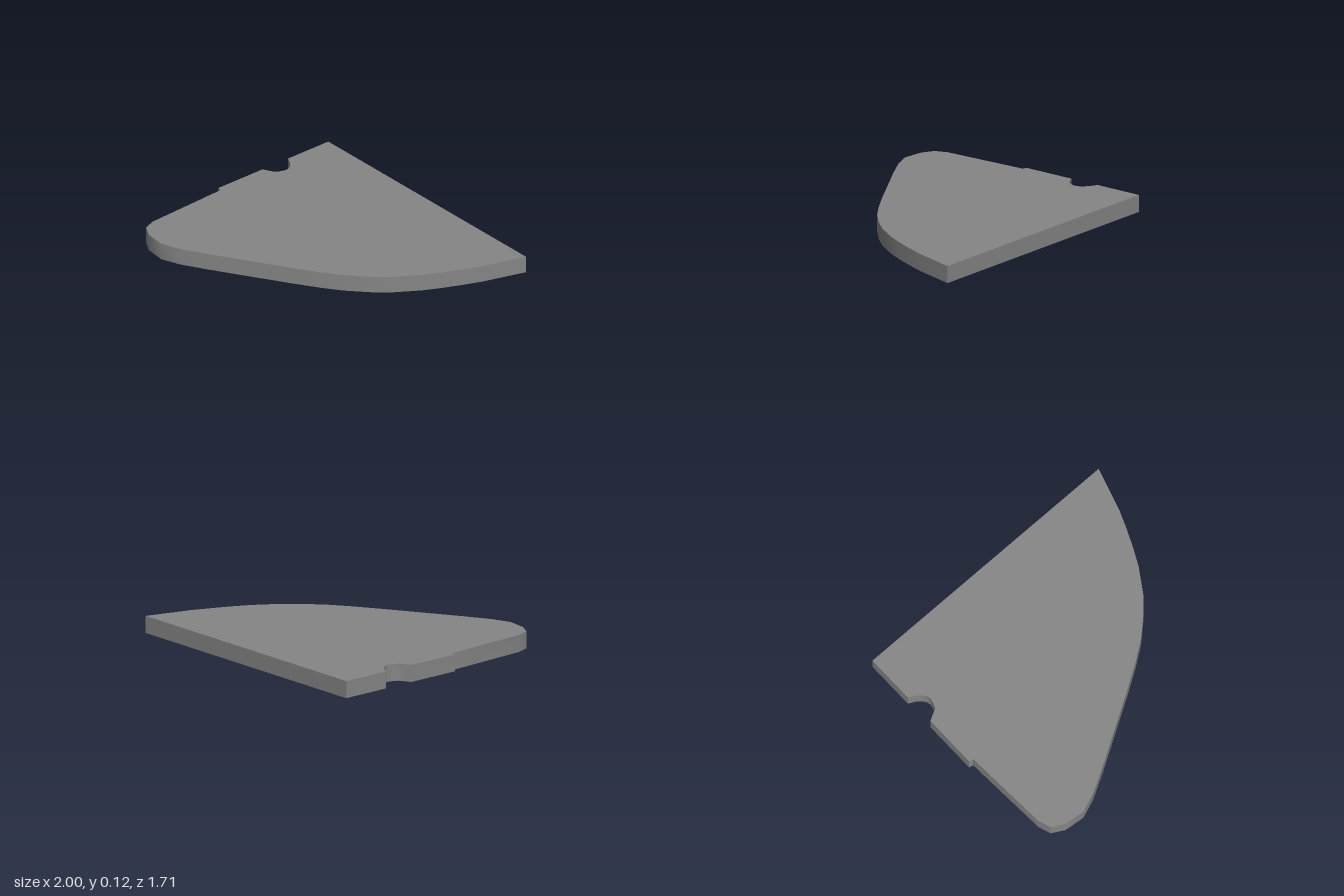
import * as THREE from 'three';
import { toCreasedNormals } from 'three/addons/utils/BufferGeometryUtils.js';

const THICKNESS = 0.117;

// Plan outline as [x, z], walked from the back right corner around the plate
const straightBack = [[-1, -0.855], [1, -0.855]];
const curvedEdge = [
  [0.908, -0.553], [0.855, -0.421], [0.799, -0.296], [0.739, -0.176], [0.627, -0.004],
  [0.542, 0.092], [0.408, 0.215], [0.28, 0.306], [0.12, 0.408], [-0.374, 0.707],
];
const roundedNose = [
  [-0.55, 0.806], [-0.68, 0.855], [-0.824, 0.84], [-0.91, 0.792], [-0.941, 0.707],
];
const sideStep = [[-0.97, 0.097], [-1, 0.093]];
const notch = [
  [-1, -0.287], [-0.92, -0.331], [-0.902, -0.369], [-0.894, -0.401],
  [-0.898, -0.425], [-0.914, -0.451], [-0.947, -0.481], [-1, -0.508],
];

export function createModel() {
  const group = new THREE.Group();
  group.name = 'plate';

  const outline = [...straightBack, ...curvedEdge, ...roundedNose, ...sideStep, ...notch];
  const shape = new THREE.Shape(outline.map(([x, z]) => new THREE.Vector2(x, -z)));

  // Extrude upward, with smooth curves and sharp rims
  let geometry = new THREE.ExtrudeGeometry(shape, { depth: THICKNESS, bevelEnabled: false });
  geometry.rotateX(-Math.PI / 2);
  geometry = toCreasedNormals(geometry, Math.PI / 4.5);

  const panel = new THREE.Mesh(geometry, new THREE.MeshStandardMaterial({ color: 0x858585 }));
  panel.name = 'notchedPanel';
  group.add(panel);
  return group;
}
